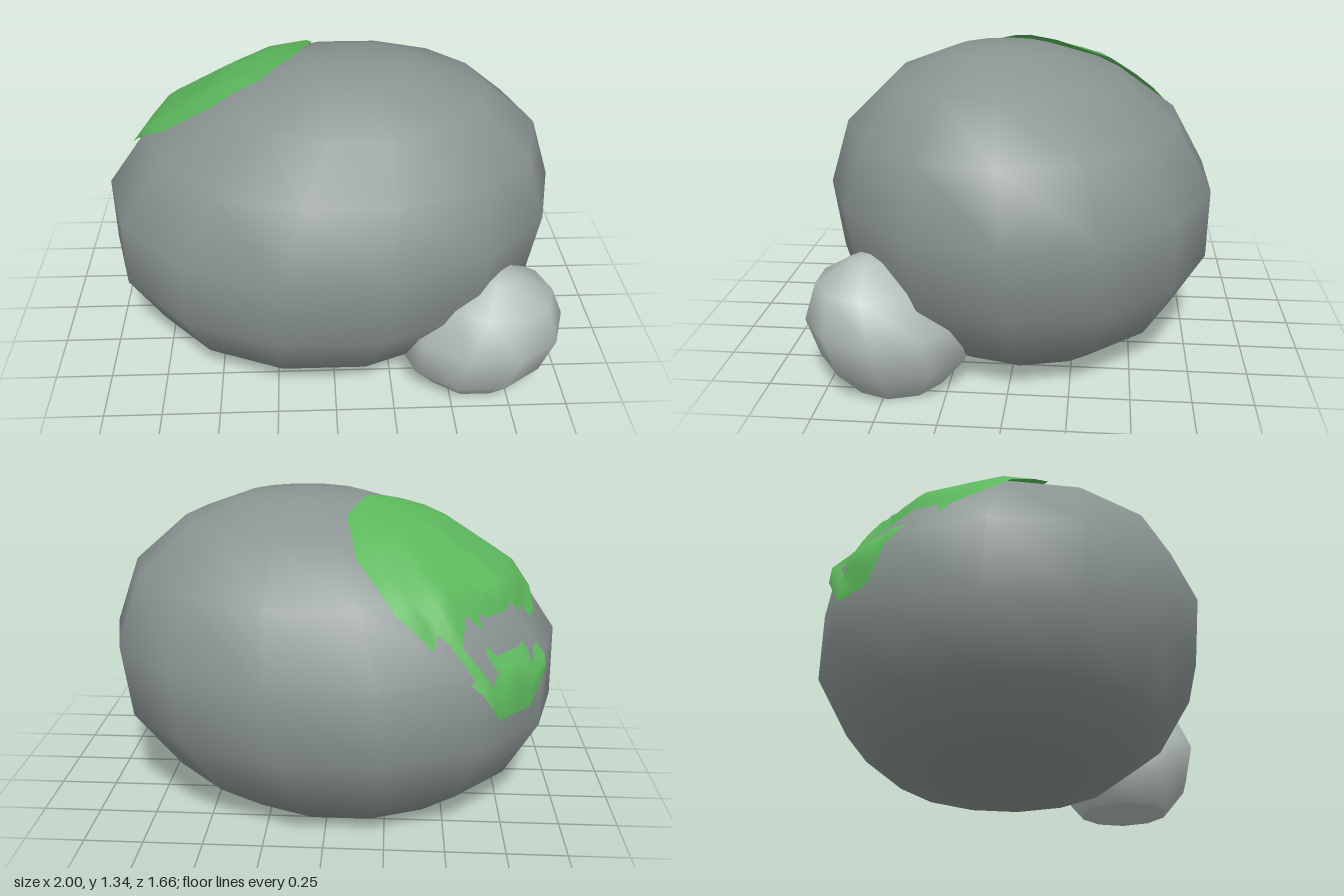
import * as THREE from 'three';

// Joins closed rows of points (lowest or outermost first) into one smooth skin
function skin(rows, apex, base) {
  const n = rows[0].length;
  const points = [...rows.flat(), apex];
  const top = points.length - 1;
  const index = [];
  rows.forEach((row, i) => {
    for (let j = 0; j < n; j++) {
      const a = i * n + j, b = i * n + (j + 1) % n;
      if (i < rows.length - 1) index.push(a, a + n, b + n, a, b + n, b);
      else index.push(a, top, b);
    }
  });
  if (base) {
    points.push(base);
    for (let j = 0; j < n; j++) index.push(top + 1, j, (j + 1) % n);
  }
  const geometry = new THREE.BufferGeometry().setFromPoints(points);
  geometry.setIndex(index);
  geometry.computeVertexNormals();
  return geometry;
}

// Horizontal oval rings given as [y, radius, centreX, centreZ]
function ovalRows(rings, sides, depth) {
  return rings.map(([y, r, cx, cz]) => Array.from({ length: sides }, (_, j) => {
    const t = j / sides * Math.PI * 2;
    return new THREE.Vector3(cx + r * Math.cos(t), y, cz + r * depth * Math.sin(t));
  }));
}

function part(name, geometry, color) {
  const mesh = new THREE.Mesh(geometry, new THREE.MeshStandardMaterial({ color }));
  mesh.name = name;
  return mesh;
}

export function createModel() {
  const group = new THREE.Group();
  group.name = 'mossyRocks';

  // Large boulder, leaning a little and flat underneath
  const bigRows = ovalRows([
    [0, 0.57, -0.06, -0.03], [0.15, 0.80, -0.05, -0.02], [0.41, 0.975, -0.025, -0.015],
    [0.725, 0.997, 0, 0], [1.01, 0.85, 0.05, 0.03], [1.21, 0.575, 0.095, 0.055],
    [1.31, 0.275, 0.125, 0.07],
  ], 14, 0.855);
  const boulder = part('largeBoulder', skin(bigRows,
    new THREE.Vector3(0.12, 1.335, 0.08), new THREE.Vector3(-0.06, 0, -0.03)), 0x8a9492);
  group.add(boulder);

  // Small stone at the front corner, with a crisp flat base
  const smallRows = ovalRows([
    [0, 0.215, 0.615, 0.478], [0.13, 0.33, 0.615, 0.48], [0.31, 0.348, 0.65, 0.505],
    [0.475, 0.24, 0.69, 0.55], [0.565, 0.085, 0.70, 0.555],
  ], 10, 0.96);
  const stone = new THREE.Group();
  stone.name = 'smallStone';
  stone.add(part('stoneBody', skin(smallRows, new THREE.Vector3(0.70, 0.58, 0.56)), 0xb4bebb));
  const base = skin([smallRows[0].slice().reverse()], new THREE.Vector3(0.615, 0, 0.478));
  stone.add(part('stoneBase', base, 0xb4bebb));
  group.add(stone);

  // Moss patch: outline and centre are cast onto the boulder
  const outline = [
    [-0.07, 1.28, -0.26], [-0.14, 1.29, -0.02], [-0.29, 1.26, 0.13], [-0.49, 1.18, 0.20],
    [-0.70, 1.05, 0.16], [-0.87, 0.92, -0.01], [-0.92, 0.82, -0.29], [-0.83, 0.54, -0.47],
    [-0.70, 0.54, -0.62], [-0.49, 0.80, -0.70], [-0.28, 0.99, -0.67], [-0.12, 1.16, -0.50],
  ].map((p) => new THREE.Vector3(...p));
  const heart = new THREE.Vector3(0, 0.6, 0);
  const middle = new THREE.Vector3(-0.49, 1.17, -0.25);
  const ray = new THREE.Raycaster();
  boulder.updateMatrixWorld();
  const drape = (target) => {
    const dir = target.clone().sub(heart).normalize();
    ray.set(heart.clone().addScaledVector(dir, 3), dir.clone().negate());
    const p = ray.intersectObject(boulder)[0].point;
    // The patch dips under the rock in a band near its back edge
    const d = -0.75 * (p.x + 0.49) - 0.66 * (p.z + 0.25);
    const lift = d < 0.25 ? 0.02 : d < 0.36 && p.y > 0.66 ? -0.02 : 0.03;
    return p.addScaledVector(dir, lift);
  };
  const edge = outline.flatMap((p, i) => {
    const next = outline[(i + 1) % outline.length];
    return [p, p.clone().lerp(next, 0.5)];
  });
  const mossRows = [];
  for (let k = 10; k > 0; k--) {
    mossRows.push(edge.map((p) => drape(middle.clone().lerp(p, k / 10))));
  }
  const moss = part('mossPatch', skin(mossRows, drape(middle)), 0x5cb85c);
  moss.material.side = THREE.DoubleSide;
  group.add(moss);

  return group;
}
